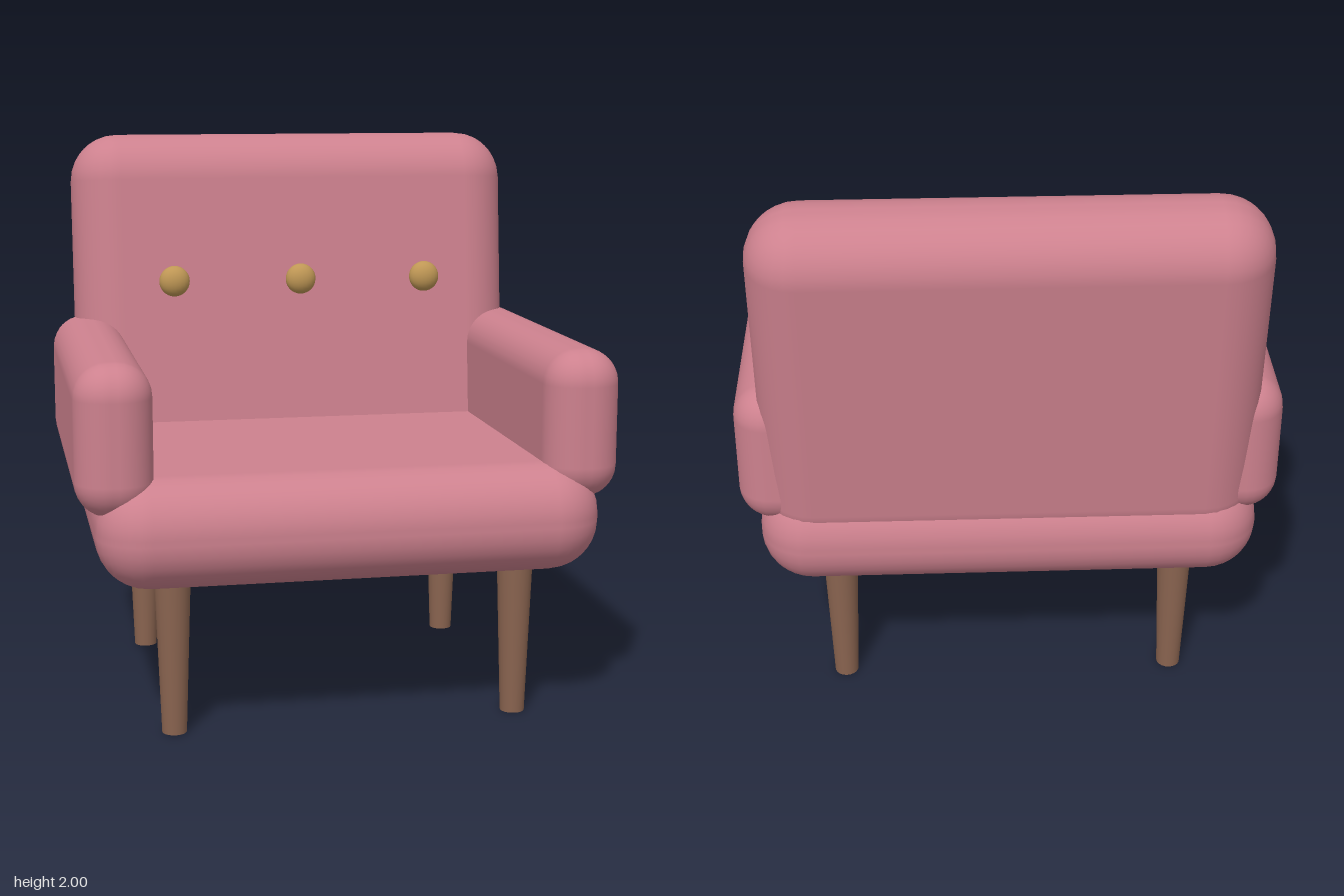
import * as THREE from 'three';
import { RoundedBoxGeometry } from 'three/addons/geometries/RoundedBoxGeometry.js';

const material = (name, color) => {
  const m = new THREE.MeshStandardMaterial({ color });
  m.name = name;
  return m;
};

export function createModel() {
  const chair = new THREE.Group();
  chair.name = 'armchair';
  const fabric = material('rose fabric', 0xcd818e);
  const wood = material('brown wood', 0x8a6450);
  const brass = material('brass', 0xbf9755);

  const add = (name, geometry, mat, x, y, z) => {
    const mesh = new THREE.Mesh(geometry, mat);
    mesh.name = name;
    mesh.position.set(x, y, z);
    chair.add(mesh);
    return mesh;
  };
  const cushion = (w, h, d, r) => new RoundedBoxGeometry(w, h, d, 4, r);

  // Seat cushion and reclined backrest
  add('seat', cushion(1.74, 0.38, 1.525, 0.18), fabric, 0, 0.73, 0.0425);
  const back = add('backrest', cushion(1.7, 1.3, 0.378, 0.18), fabric, 0, 1.352, -0.56);
  back.rotation.x = -0.11;

  // Armrests
  const arm = cushion(0.265, 0.52, 1.405, 0.12);
  add('leftArmrest', arm, fabric, 0.8025, 1.05, 0.0425);
  add('rightArmrest', arm, fabric, -0.8025, 1.05, 0.0425);

  // Tapered legs, reaching slightly into the seat
  const leg = new THREE.CylinderGeometry(0.063, 0.043, 0.56, 20);
  for (const [side, x] of [['left', 0.605], ['right', -0.605]]) {
    add(side + 'FrontLeg', leg, wood, x, 0.28, 0.553);
    add(side + 'BackLeg', leg, wood, x, 0.28, -0.465);
  }

  // Flattened buttons in front of the backrest
  const button = new THREE.SphereGeometry(0.058, 20, 14).scale(1, 1, 0.72);
  for (const x of [-0.485, 0, 0.485]) add('button', button, brass, x, 1.46, -0.327);

  return chair;
}
